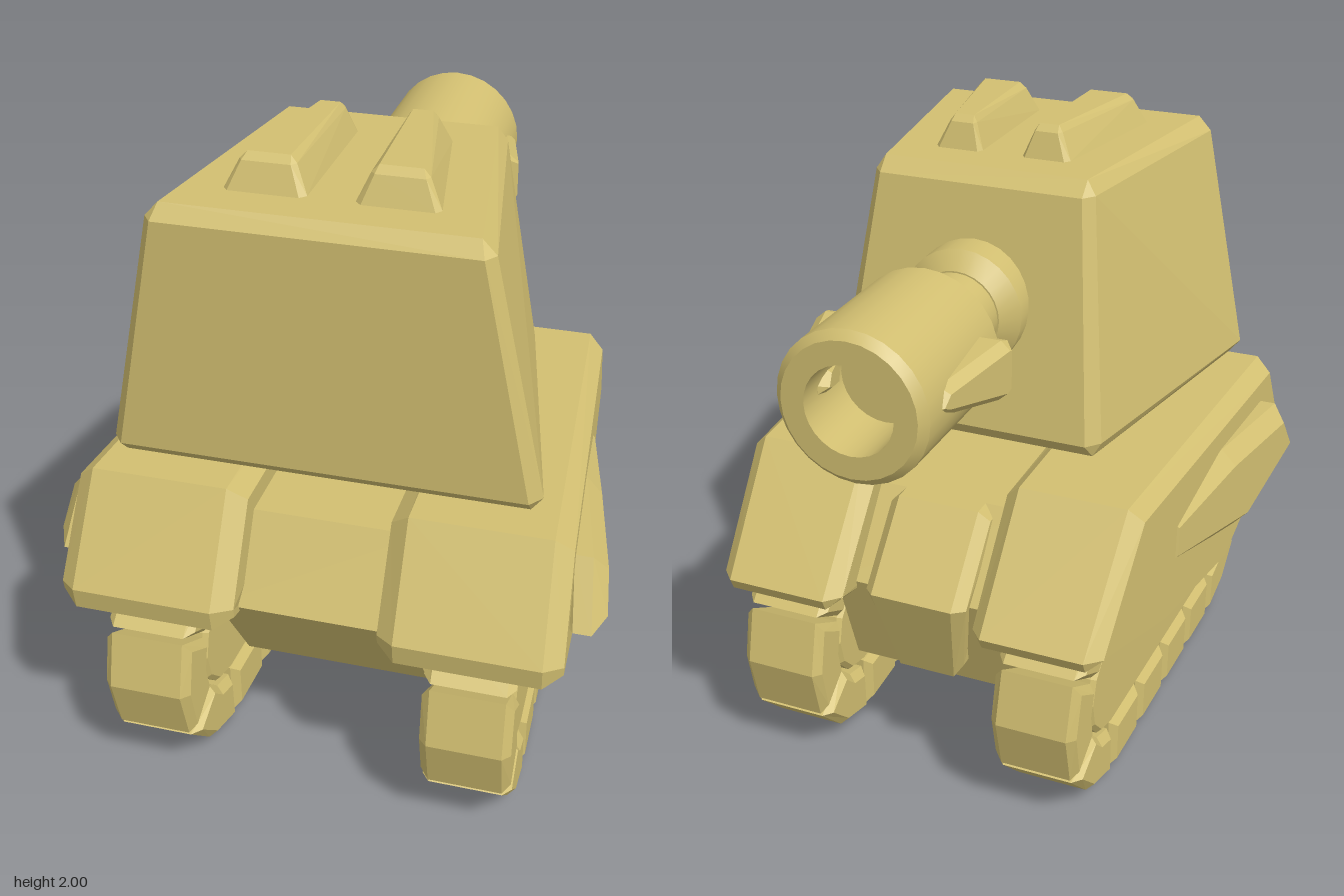
import * as THREE from 'three';
import { toCreasedNormals } from 'three/addons/utils/BufferGeometryUtils.js';
import { ConvexGeometry } from 'three/addons/geometries/ConvexGeometry.js';

const tan = new THREE.MeshStandardMaterial({ color: 0xd2bf71 });
tan.name = 'tanArmour';

// Move every vertex by a rule on its (x, y, z), then make the facets flat.
function bend(geo, rule) {
  const p = geo.attributes.position;
  for (let i = 0; i < p.count; i++) p.setXYZ(i, ...rule(p.getX(i), p.getY(i), p.getZ(i)));
  geo.computeVertexNormals();
  return geo;
}

// Bevelled plate: [z, y] outline, spanning -x from w0 to w1. The rule sees w = -x.
function slab(outline, w0, w1, size, thick = size, rule = (w) => w) {
  const shape = new THREE.Shape(outline.map(([z, y]) => new THREE.Vector2(z, y)));
  const geo = new THREE.ExtrudeGeometry(shape, {
    depth: w1 - w0 - 2 * thick, bevelEnabled: size > 0, bevelSegments: 1,
    bevelSize: size, bevelThickness: thick, bevelOffset: -size,
  });
  geo.translate(0, 0, w0 + thick).rotateY(-Math.PI / 2);
  return bend(geo, (x, y, z) => [-rule(-x, y, z), y, z]);
}

// Chamfered six-sided block; each level is [zBack, xMin, xMax, zFront, xMin, xMax].
function block(y0, y1, low, high, c) {
  const mix = THREE.MathUtils.lerp;
  const at = (s, t, u) => {
    const l = low.map((v, i) => mix(v, high[i], t));
    return new THREE.Vector3(mix(mix(l[1], l[2], s), mix(l[4], l[5], s), u), mix(y0, y1, t), mix(l[0], l[3], u));
  };
  const size = [low[5] - low[4], y1 - y0, low[3] - low[0]];
  const pts = [];
  for (let corner = 0; corner < 8; corner++) {
    for (let face = 0; face < 3; face++) {
      pts.push(at(...size.map((len, k) => {
        const inset = k === face ? 0 : c / len;
        return (corner >> k) & 1 ? 1 - inset : inset;
      })));
    }
  }
  return new ConvexGeometry(pts);
}

// Mirror in x, restoring the corner order.
function mirrored(geo) {
  const g = geo.index ? geo.toNonIndexed() : geo.clone();
  g.scale(-1, 1, 1);
  const p = g.attributes.position;
  const a = new THREE.Vector3(), b = new THREE.Vector3();
  for (let i = 0; i < p.count; i += 3) {
    a.fromBufferAttribute(p, i + 1);
    b.fromBufferAttribute(p, i + 2);
    p.setXYZ(i + 1, b.x, b.y, b.z);
    p.setXYZ(i + 2, a.x, a.y, a.z);
  }
  g.computeVertexNormals();
  return g;
}

export function createModel() {
  const model = new THREE.Group();
  model.name = 'tank';
  const add = (name, geo) => {
    const mesh = new THREE.Mesh(geo, tan);
    mesh.name = name;
    model.add(mesh);
  };
  const pair = (name, geo) => {
    add(name + 'Right', geo);
    add(name + 'Left', mirrored(geo));
  };

  // Central hull and rear plate
  add('hull', slab([[0.62, 0.29], [0.87, 0.66], [0.72, 0.92], [-0.38, 0.92], [-0.58, 0.66], [-0.45, 0.29]].reverse(),
    -0.3, 0.3, 0, 0));
  add('rearPlate', slab([[-0.3, 0.92], [-0.44, 0.92], [-0.66, 0.68], [-0.55, 0.36], [-0.4, 0.36]],
    -0.17, 0.17, 0.035, 0.035, (w, y) => w * (y < 0.6 ? 0.7 : 1)));

  // Fenders, narrowing to the rear and tucked in along the lower inner edge
  pair('fender', slab(
    [[0.98, 0.71], [0.79, 1.03], [-0.43, 1.03], [-0.74, 0.67], [-0.72, 0.63], [-0.19, 0.46], [0.41, 0.375], [0.97, 0.64]],
    0.22, 0.695, 0.045, 0.05,
    (w, y, z) => w + (w - 0.22) * 0.08 * z / 0.475 + (w < 0.4 ? Math.max(0, 0.63 - y) * 0.38 : 0)));

  // Raised wedge panels on the fender sides
  pair('sidePanel', slab(
    [[0.8, 0.72], [0.68, 0.91], [0.27, 0.91], [-0.17, 0.86], [-0.17, 0.66], [0.41, 0.555]],
    0.56, 0.715, 0.055, 0.05, (w, y, z) => w + 0.2 * z));

  // Tracks: hub plus flat and bent links round a stadium path, toed in at the rear
  const R = 0.37, r = 0.2, zFront = 0.63, zBack = -0.37;
  const toe = (w, y, z) => w + 0.04 * z;
  const arc = (zc, dir, radius, deg) => {
    const a = THREE.MathUtils.degToRad(deg);
    return [zc + dir * radius * Math.cos(a), R + radius * Math.sin(a)];
  };
  const hub = [];
  for (let d = -90; d <= 90; d += 30) hub.push(arc(zFront, 1, 0.185, d));
  for (let d = 90; d >= -90; d -= 30) hub.push(arc(zBack, -1, 0.185, d));
  pair('trackHub', slab(hub, 0.34, 0.585, 0.015, 0.015, toe));
  for (let i = 0; i < 4; i++) {
    const z0 = zBack + i * 0.25 + 0.008, z1 = z0 + 0.234;
    pair('flatLink' + (i + 1), slab([[z0, 0], [z1, 0], [z1, 0.18], [z0, 0.18]], 0.322, 0.6, 0.025, 0.025, toe));
  }
  for (const [end, zc, dir] of [['front', zFront, 1], ['rear', zBack, -1]]) {
    [-60, 0, 60].forEach((mid, i) => {
      const outer = [-28.5, 0, 28.5].map((d) => arc(zc, dir, R, mid + d));
      const inner = [27, 0, -27].map((d) => arc(zc, dir, r, mid + d));
      const outline = [...outer, ...inner];
      pair(end + 'Link' + (i + 1), slab(outline, 0.322, 0.6, 0.025, 0.025, toe));
    });
  }

  // Turret with two roof ridges
  add('turret', block(1.07, 1.9, [-0.27, -0.45, 0.45, 0.76, -0.67, 0.67], [-0.1, -0.35, 0.35, 0.76, -0.49, 0.49], 0.045));
  const ridge = block(1.88, 2, [0.06, 0.06, 0.23, 0.61, 0.06, 0.325], [0.1, 0.105, 0.175, 0.56, 0.115, 0.265], 0.02);
  add('roofRidgeLeft', ridge);
  add('roofRidgeRight', mirrored(ridge));

  // Gun: collar, barrel and hollow muzzle in one turned profile
  const profile = [[0.195, 0.05], [0.195, 0.24], [0.14, 0.285], [0.135, 0.285], [0.135, 0.48], [0.205, 0.48],
    [0.23, 0.505], [0.23, 0.975], [0.205, 1], [0.135, 1], [0.135, 0.78], [0, 0.78]];
  const gun = new THREE.LatheGeometry(profile.map(([x, y]) => new THREE.Vector2(x, y)), 28);
  gun.rotateX(-Math.PI / 2).translate(0, 1.5, 0);
  add('gun', toCreasedNormals(gun, 0.6));

  // Tapered fins on the muzzle sides
  pair('muzzleFin', slab(
    [[-0.57, 1.58], [-0.6, 1.59], [-0.88, 1.56], [-0.92, 1.515], [-0.92, 1.49], [-0.88, 1.47], [-0.61, 1.41], [-0.57, 1.43]],
    0.32, 0.446, 0.025, 0.03, (w, y, z) => w + 0.235 * z));

  return model;
}
